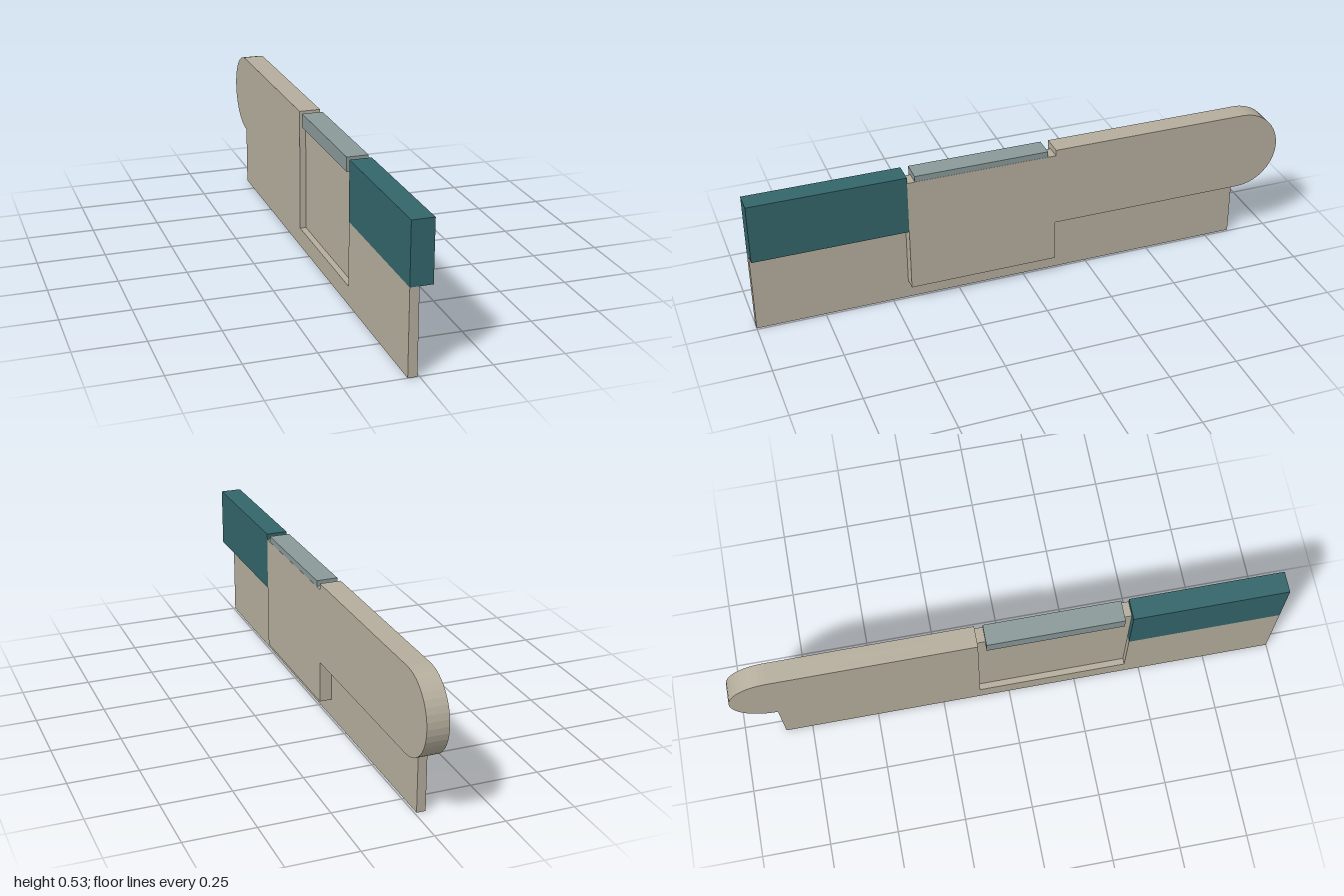
import * as THREE from 'three';

const HALF = 0.039;            // half thickness of the whole piece
const FLOOR = -0.016;          // floor of the recess
const STEP = -0.007;           // inner face of the thin plate
const TOP = 0.527, TIP_Y = 0.225, LOW = 0.07, SHELF = 0.307, PANEL = 0.505;
const A = -0.44, B = 0.11, END = 0.849; // stations along the length (u = -z)
const R = (TOP - TIP_Y) / 2;

export function createModel() {
  const model = new THREE.Group();
  const beige = new THREE.MeshStandardMaterial({ color: 0xb5ae9d });
  beige.name = 'warm beige';
  const teal = new THREE.MeshStandardMaterial({ color: 0x33656a });
  teal.name = 'dark teal';
  const grey = new THREE.MeshStandardMaterial({ color: 0x8a9999 });
  grey.name = 'blue grey';

  // Extrude a side profile (u = -z, y) between two x positions
  function layer(name, shape, x0, x1) {
    const geo = new THREE.ExtrudeGeometry(shape, { depth: x1 - x0, bevelEnabled: false, curveSegments: 10 });
    geo.rotateY(Math.PI / 2).translate(x0, 0, 0);
    const mesh = new THREE.Mesh(geo, beige);
    mesh.name = name;
    model.add(mesh);
  }

  function block(name, mat, x0, x1, y0, y1, z0, z1) {
    const mesh = new THREE.Mesh(new THREE.BoxGeometry(x1 - x0, y1 - y0, z1 - z0), mat);
    mesh.position.set((x0 + x1) / 2, (y0 + y1) / 2, (z0 + z1) / 2);
    mesh.name = name;
    model.add(mesh);
  }

  // Upper arm with the rounded end, shared by every layer
  function roundedArm(s) {
    s.lineTo(B, TOP);
    s.lineTo(END, TOP);
    s.absarc(END, TOP - R, R, Math.PI / 2, -Math.PI / 2, true);
  }

  // Plate profile; midY is the height of the middle section
  function plateShape(midY) {
    const s = new THREE.Shape();
    s.moveTo(-1, 0);
    s.lineTo(-1, SHELF);
    s.lineTo(A, SHELF);
    s.lineTo(A, midY);
    s.lineTo(B, midY);
    roundedArm(s);
    s.lineTo(END, 0);
    s.closePath();
    return s;
  }

  // Thin plate: outer skin with the open recess, then the recess floor
  layer('recessedPlate', plateShape(LOW), -HALF, FLOOR);
  layer('backingPlate', plateShape(PANEL), FLOOR, STEP);

  // Thick raised panel and arm on the other side
  const raised = new THREE.Shape();
  raised.moveTo(A, LOW);
  raised.lineTo(A, PANEL);
  raised.lineTo(B, PANEL);
  roundedArm(raised);
  raised.lineTo(B, TIP_Y);
  raised.lineTo(B, LOW);
  raised.closePath();
  layer('raisedPanel', raised, STEP, HALF);

  // Coloured blocks along the top edge
  block('frontBlock', teal, -HALF, HALF, SHELF, TOP, -A, 1);
  block('topSlider', grey, -HALF, HALF - 0.0006, 0.475, TOP, -0.08, 0.412);

  return model;
}
